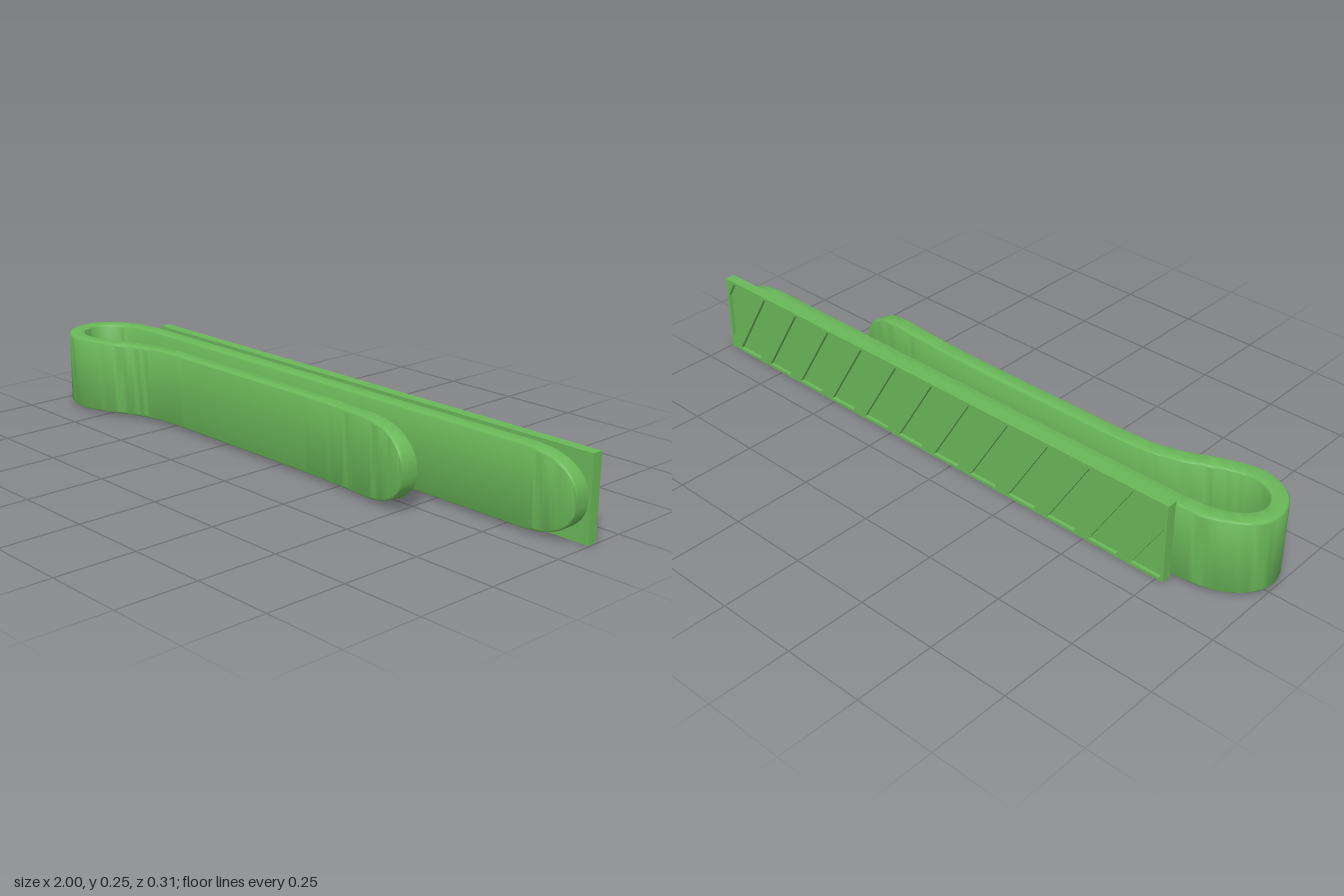
import * as THREE from 'three';
import { toCreasedNormals } from 'three/addons/utils/BufferGeometryUtils.js';

const MID_Y = 0.125, HALF_H = 0.116, HALF_T = 0.026, BEVEL = 0.009;

// Rounded rectangle (across thickness, up), counter-clockwise
function bandSection() {
  const ring = [];
  [[1, 1], [-1, 1], [-1, -1], [1, -1]].forEach(([sx, sy], corner) => {
    for (let k = 0; k <= 4; k++) {
      const a = (corner + k / 4) * Math.PI / 2;
      ring.push([
        sx * (HALF_T - BEVEL) + BEVEL * Math.cos(a),
        sy * (HALF_H - BEVEL) + BEVEL * Math.sin(a),
      ]);
    }
  });
  return ring;
}

// Sweep the section along the folded path, narrowing it to a round tip at each end
function bandGeometry() {
  const path = new THREE.CatmullRomCurve3([
    [0.988, -0.102], [0.5, -0.102], [0, -0.102], [-0.5, -0.102], [-0.7, -0.102],
    [-0.79, -0.1], [-0.88, -0.084], [-0.948, -0.04], [-0.973, 0.02], [-0.942, 0.092],
    [-0.86, 0.13], [-0.76, 0.107], [-0.66, 0.061], [-0.57, 0.036], [-0.45, 0.027],
    [-0.3, 0.026], [0.1, 0.026], [0.25, 0.031], [0.4, 0.043], [0.545, 0.064],
  ].map(([x, z]) => new THREE.Vector3(x, MID_Y, z)));
  path.arcLengthDivisions = 1000;
  const length = path.getLength(), tip = 0.19, tipSteps = 24, midSteps = 180;

  const stations = [];
  for (let i = 0; i < tipSteps; i++) stations.push(tip * (1 - Math.cos(i / tipSteps * Math.PI / 2)));
  const endStations = stations.map((d) => length - d).reverse();
  for (let i = 0; i <= midSteps; i++) stations.push(tip + (length - 2 * tip) * i / midSteps);
  stations.push(...endStations);

  const ring = bandSection(), n = ring.length, positions = [], index = [];
  stations.forEach((s, i) => {
    const u = Math.min(1, Math.max(0, s / length));
    const p = path.getPointAt(u), t = path.getTangentAt(u);
    const d = Math.min(1, Math.min(s, length - s) / tip);
    const scale = Math.pow(Math.max(0, 1 - Math.pow(1 - d, 2.4)), 1 / 2.4);
    ring.forEach(([a, y], j) => {
      positions.push(p.x + t.z * a, MID_Y + y * scale, p.z - t.x * a);
      if (i < stations.length - 1) {
        const k = (j + 1) % n, A = i * n, B = A + n;
        index.push(A + j, A + k, B + k, A + j, B + k, B + j);
      }
    });
  });
  const geometry = new THREE.BufferGeometry();
  geometry.setAttribute('position', new THREE.Float32BufferAttribute(positions, 3));
  geometry.setIndex(index);
  return toCreasedNormals(geometry, 0.7);
}

// Keep the part of a polygon where side * x <= side * limit
function clipX(points, limit, side) {
  const out = [];
  points.forEach((p, i) => {
    const q = points[(i + 1) % points.length];
    const dp = side * (limit - p.x), dq = side * (limit - q.x);
    if (dp >= 0) out.push(p);
    if (dp * dq < 0) out.push(p.clone().lerp(q, dp / (dp - dq)));
  });
  return out;
}

function rectangle(x0, x1, y0, y1) {
  return new THREE.Shape([[x0, y0], [x1, y0], [x1, y1], [x0, y1]].map(([x, y]) => new THREE.Vector2(x, y)));
}

export function createModel() {
  const group = new THREE.Group();
  group.name = 'clip';
  const material = new THREE.MeshStandardMaterial({ color: 0x6ab759 });
  const add = (name, geometry) => {
    const mesh = new THREE.Mesh(geometry, material);
    mesh.name = name;
    group.add(mesh);
    return mesh;
  };

  // Folded spring band
  add('springBand', bandGeometry());

  // Decorative plate: solid base plus a slotted face layer
  const x0 = -0.773, x1 = 0.997, height = 0.25, back = -0.158, front = -0.125, depth = 0.011;
  const baseDepth = front - back - depth;
  add('plateBase', new THREE.BoxGeometry(x1 - x0, height, baseDepth))
    .position.set((x0 + x1) / 2, height / 2, front - baseDepth / 2);

  // Slanted slots, trimmed to a thin border
  const face = rectangle(x0, x1, 0, height);
  const border = 0.009, pitch = 0.147, slot = 0.095, slant = 0.14;
  for (let x = x0 - pitch + 0.02; x < x1; x += pitch) {
    let points = [
      [x + slant, border], [x + slant + slot, border], [x + slot, height - border], [x, height - border],
    ].map(([px, py]) => new THREE.Vector2(px, py));
    points = clipX(clipX(points, x1 - border, 1), x0 + border, -1);
    if (points.length > 2) face.holes.push(new THREE.Path(points));
  }
  add('slottedFace', new THREE.ExtrudeGeometry(face, { depth, bevelEnabled: false })).position.z = back;

  return group;
}
